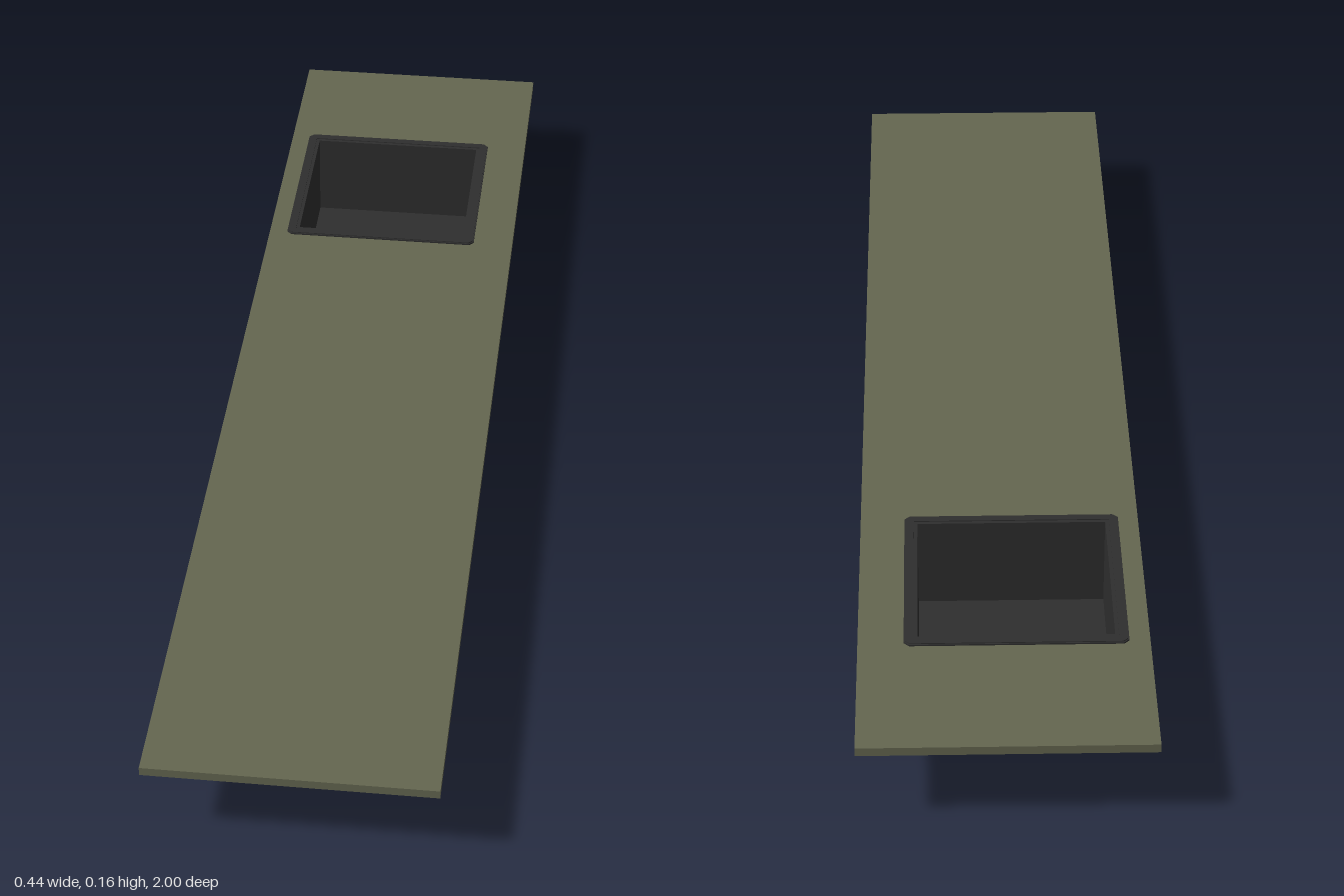
import * as THREE from 'three';

// Closed rectangle path in plan; shape y is -z. corner > 0 cuts the corners.
function rect(PathType, x0, x1, z0, z1, corner = 0) {
  const c = corner, a = -z1, b = -z0;
  const points = c > 0
    ? [[x0 + c, a], [x1 - c, a], [x1, a + c], [x1, b - c], [x1 - c, b], [x0 + c, b], [x0, b - c], [x0, a + c]]
    : [[x0, a], [x1, a], [x1, b], [x0, b]];
  return new PathType(points.map(([x, y]) => new THREE.Vector2(x, y)));
}

// Horizontal slab with an optional hole, from y0 to y1
function slab(name, shape, hole, y0, y1, material) {
  if (hole) shape.holes.push(hole);
  const geometry = new THREE.ExtrudeGeometry(shape, { depth: y1 - y0, bevelEnabled: false });
  geometry.rotateX(-Math.PI / 2);
  geometry.translate(0, y0, 0);
  const mesh = new THREE.Mesh(geometry, material);
  mesh.name = name;
  return mesh;
}

export function createModel() {
  const group = new THREE.Group();
  group.name = 'countertopWithSink';

  const olive = new THREE.MeshStandardMaterial({ color: 0x646650 });
  olive.name = 'olive counter';
  const charcoal = new THREE.MeshStandardMaterial({ color: 0x2e2e2e });
  charcoal.name = 'charcoal sink';

  // Basin extents in plan and wall thickness
  const x0 = -0.172, x1 = 0.134, z0 = -0.739, z1 = -0.434, t = 0.003;
  const grown = (PathType, g, corner) => rect(PathType, x0 - g, x1 + g, z0 - g, z1 + g, corner);

  // Long worktop with a cut-out for the basin
  group.add(slab('countertop', rect(THREE.Shape, -0.222, 0.222, -1, 1),
    grown(THREE.Path, 0), 0.139, 0.153, olive));

  // Open basin: four walls and a floor
  group.add(slab('basinWalls', grown(THREE.Shape, 0), grown(THREE.Path, -t), 0, 0.154, charcoal));
  group.add(slab('basinFloor', grown(THREE.Shape, -t), null, 0, t, charcoal));

  // Raised rim in two steps around the opening
  group.add(slab('rimBase', grown(THREE.Shape, 0.018, 0.008), grown(THREE.Path, -t), 0.153, 0.1555, charcoal));
  group.add(slab('rimLip', grown(THREE.Shape, 0.016, 0.007), grown(THREE.Path, 0.003), 0.1555, 0.157, charcoal));

  return group;
}
